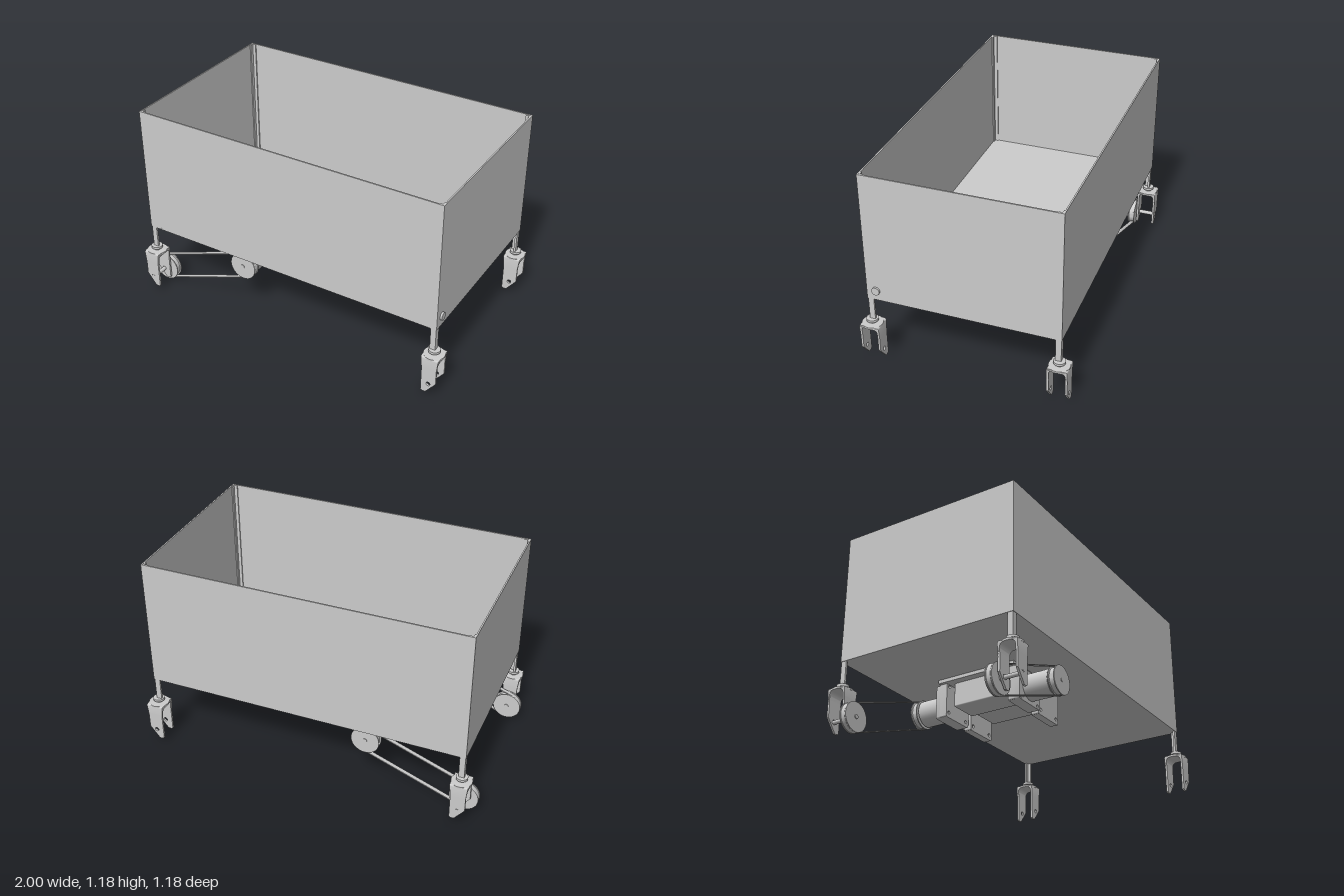
import * as THREE from 'three';
import { RoundedBoxGeometry } from 'three/addons/geometries/RoundedBoxGeometry.js';
import { toCreasedNormals } from 'three/addons/utils/BufferGeometryUtils.js';

const grey = new THREE.MeshStandardMaterial({ color: 0xcccccc });

function add(parent, name, geometry, x = 0, y = 0, z = 0) {
  const mesh = new THREE.Mesh(geometry, grey);
  mesh.name = name;
  mesh.position.set(x, y, z);
  parent.add(mesh);
  return mesh;
}

// Box given by its limits on each axis
function block(parent, name, [x0, x1], [y0, y1], [z0, z1]) {
  return add(parent, name, new THREE.BoxGeometry(x1 - x0, y1 - y0, z1 - z0),
    (x0 + x1) / 2, (y0 + y1) / 2, (z0 + z1) / 2);
}

function upright(parent, name, r, y0, y1, x, z) {
  return add(parent, name, new THREE.CylinderGeometry(r, r, y1 - y0, 32), x, (y0 + y1) / 2, z);
}

function rodZ(parent, name, r, z0, z1, x, y) {
  const g = new THREE.CylinderGeometry(r, r, Math.abs(z1 - z0), 32).rotateX(Math.PI / 2);
  return add(parent, name, g, x, y, (z0 + z1) / 2);
}

function extrude(shape, depth) {
  const g = new THREE.ExtrudeGeometry(shape, { depth, bevelEnabled: false, curveSegments: 12 });
  return toCreasedNormals(g.translate(0, 0, -depth / 2), 0.6);
}

// Square plate with a rounded outline and four screw holes
function plateGeometry(w, h, depth) {
  const s = new THREE.Shape(), a = w / 2, b = h / 2, r = 0.014;
  s.moveTo(-a + r, -b);
  s.lineTo(a - r, -b).quadraticCurveTo(a, -b, a, -b + r);
  s.lineTo(a, b).lineTo(-a, b);
  s.lineTo(-a, -b + r).quadraticCurveTo(-a, -b, -a + r, -b);
  for (const i of [-1, 1]) for (const j of [-1, 1]) {
    const hole = new THREE.Path();
    hole.absarc(i * (a - 0.025), j * 0.078, 0.01, 0, Math.PI * 2, true);
    s.holes.push(hole);
  }
  return extrude(s, depth);
}

// Grooved pulley, axis along z
function pulley(parent, name, x, y, z) {
  const pts = [[0, -0.021], [0.083, -0.021], [0.083, -0.015], [0.075, -0.013],
    [0.075, 0.013], [0.083, 0.015], [0.083, 0.021], [0, 0.021]].map(p => new THREE.Vector2(...p));
  const g = toCreasedNormals(new THREE.LatheGeometry(pts, 48).rotateX(Math.PI / 2), 0.5);
  return add(parent, name, g, x, y, z);
}

// Closed outline round two equal pulleys
function loop(path, a, b, r) {
  const t = Math.atan2(b.y - a.y, b.x - a.x);
  path.absarc(a.x, a.y, r, t + Math.PI / 2, t + Math.PI * 1.5, false);
  path.absarc(b.x, b.y, r, t - Math.PI / 2, t + Math.PI / 2, false);
  path.closePath();
  return path;
}

function createCaster(out, side, cx) {
  const caster = new THREE.Group();
  caster.name = 'caster';
  upright(caster, 'casterCollar', 0.033, 0.271, 0.285, 0, 0);
  upright(caster, 'casterStem', 0.018, 0.25, 0.272, 0, 0);

  // U-shaped fork section, extruded sideways and then trimmed by the side outline
  const crown = new THREE.Shape();
  crown.moveTo(-0.057, 0.18).lineTo(-0.057, 0.245).quadraticCurveTo(-0.057, 0.257, -0.045, 0.257);
  crown.lineTo(0.045, 0.257).quadraticCurveTo(0.057, 0.257, 0.057, 0.245).lineTo(0.057, 0.18);
  crown.lineTo(0.045, 0.18).lineTo(0.045, 0.218).quadraticCurveTo(0.045, 0.245, 0.018, 0.245);
  crown.lineTo(-0.018, 0.245).quadraticCurveTo(-0.045, 0.245, -0.045, 0.218).lineTo(-0.045, 0.18);
  const g = new THREE.ExtrudeGeometry(crown, { depth: 0.086, bevelEnabled: false, curveSegments: 8 });
  g.translate(0, 0, -0.043).rotateY(Math.PI / 2);
  const p = g.attributes.position;
  for (let i = 0; i < p.count; i++) {
    // flare the top outwards into the round mounting face
    const k = THREE.MathUtils.smoothstep(p.getY(i), 0.2, 0.25);
    const bulge = 0.018 * k * (1 - Math.abs(p.getZ(i)) / 0.09);
    p.setX(i, p.getX(i) + Math.sign(p.getX(i)) * bulge);
  }
  add(caster, 'forkCrown', toCreasedNormals(g, 0.6));
  upright(caster, 'forkTop', 0.059, 0.246, 0.257, 0, 0);

  // Prongs with slanted feet
  const prong = new THREE.Shape();
  const outline = [[-0.043, 0.2], [-0.043, 0.034], [-0.034, 0.027], [-0.014, 0.027], [0.043, 0.1], [0.043, 0.2]];
  outline.forEach(([x, y], i) => i ? prong.lineTo(x * out, y) : prong.moveTo(x * out, y));
  const hole = new THREE.Path();
  hole.absarc(0, 0.086, 0.012, 0, Math.PI * 2, true);
  prong.holes.push(hole);
  for (const s of [-1, 1]) add(caster, 'forkProng', extrude(prong, 0.012), 0, 0, s * 0.051);
  caster.position.set(cx, 0, side * 0.532);
  return caster;
}

export function createModel() {
  const model = new THREE.Group();

  // Open bin
  const X = [-0.935, 0.945], Z = 0.545, T = 0.008;
  const bin = new THREE.Group();
  bin.name = 'bin';
  block(bin, 'binFloor', X, [0.42, 0.43], [-Z, Z]);
  for (const s of [-1, 1]) {
    block(bin, 'longWall', X, [0.42, 1.18], s > 0 ? [Z - T, Z] : [-Z, -Z + T]);
    block(bin, 'endWall', s > 0 ? [X[1] - T, X[1]] : [X[0], X[0] + T], [0.42, 1.18], [-Z + T, Z - T]);
  }
  const knob = new THREE.CylinderGeometry(0.023, 0.023, 0.014, 32).rotateZ(Math.PI / 2);
  add(bin, 'button', knob, 0.949, 0.48, 0.49);
  model.add(bin);

  // Corner angle legs and casters
  for (const out of [-1, 1]) for (const side of [-1, 1]) {
    const edge = (out > 0 ? X[1] : X[0]) - out * 0.003, ez = side * (Z - 0.003);
    const span = (a, d) => d > 0 ? [a, a + d] : [a + d, a];
    block(model, 'legFlange', span(edge, -out * 0.032), [0.285, 1.178], span(ez, -side * 0.012));
    block(model, 'legFlange', span(edge, -out * 0.012), [0.285, 1.178], span(ez, -side * 0.032));
    model.add(createCaster(out, side, out > 0 ? 0.935 : -0.918));
  }

  // Drive unit under the floor
  const drive = new THREE.Group();
  drive.name = 'driveUnit';
  block(drive, 'mountPlate', [-0.465, 0], [0.4, 0.42], [-0.245, 0.245]);
  add(drive, 'battery', new RoundedBoxGeometry(0.17, 0.1, 0.36, 3, 0.01), -0.105, 0.346, 0.004);
  add(drive, 'controller', new RoundedBoxGeometry(0.17, 0.14, 0.335, 3, 0.008), -0.34, 0.33, 0.002);
  const wheel = new THREE.Vector2(-0.918, 0.084), motor = new THREE.Vector2(-0.336, 0.301);
  for (const s of [-1, 1]) {
    add(drive, 'bracketPlate', plateGeometry(0.21, 0.215, 0.045), -0.105, 0.3125, s * 0.2225);
    add(drive, 'motorBracket', plateGeometry(0.21, 0.215, 0.045), -0.34, 0.3125, s * 0.2225);
    add(drive, 'motorFace', plateGeometry(0.21, 0.19, 0.025), -0.34, 0.3, s * 0.2575);
    block(drive, 'clampBar', [-0.265, -0.198], [0.34, 0.35], s > 0 ? [0.18, 0.29] : [-0.29, -0.18]);
    rodZ(drive, 'motorBody', 0.075, s * 0.26, s * 0.418, motor.x, motor.y);
    rodZ(drive, 'motorShaft', 0.012, s * 0.41, s * 0.47, motor.x, motor.y);
    pulley(drive, 'motorPulley', motor.x, motor.y, s * 0.446);

    // Driven pulley with hub and axle through the caster fork
    pulley(drive, 'wheelPulley', wheel.x, wheel.y, s * 0.446);
    rodZ(drive, 'wheelHub', 0.018, s * 0.465, s * 0.48, wheel.x, wheel.y);
    rodZ(drive, 'axle', 0.012, s * 0.42, s * 0.588, wheel.x, wheel.y);

    // Belt
    const belt = loop(new THREE.Shape(), wheel, motor, 0.081);
    belt.holes.push(loop(new THREE.Path(), wheel, motor, 0.076));
    add(drive, 'belt', extrude(belt, 0.024), 0, 0, s * 0.446);
  }
  model.add(drive);
  return model;
}
